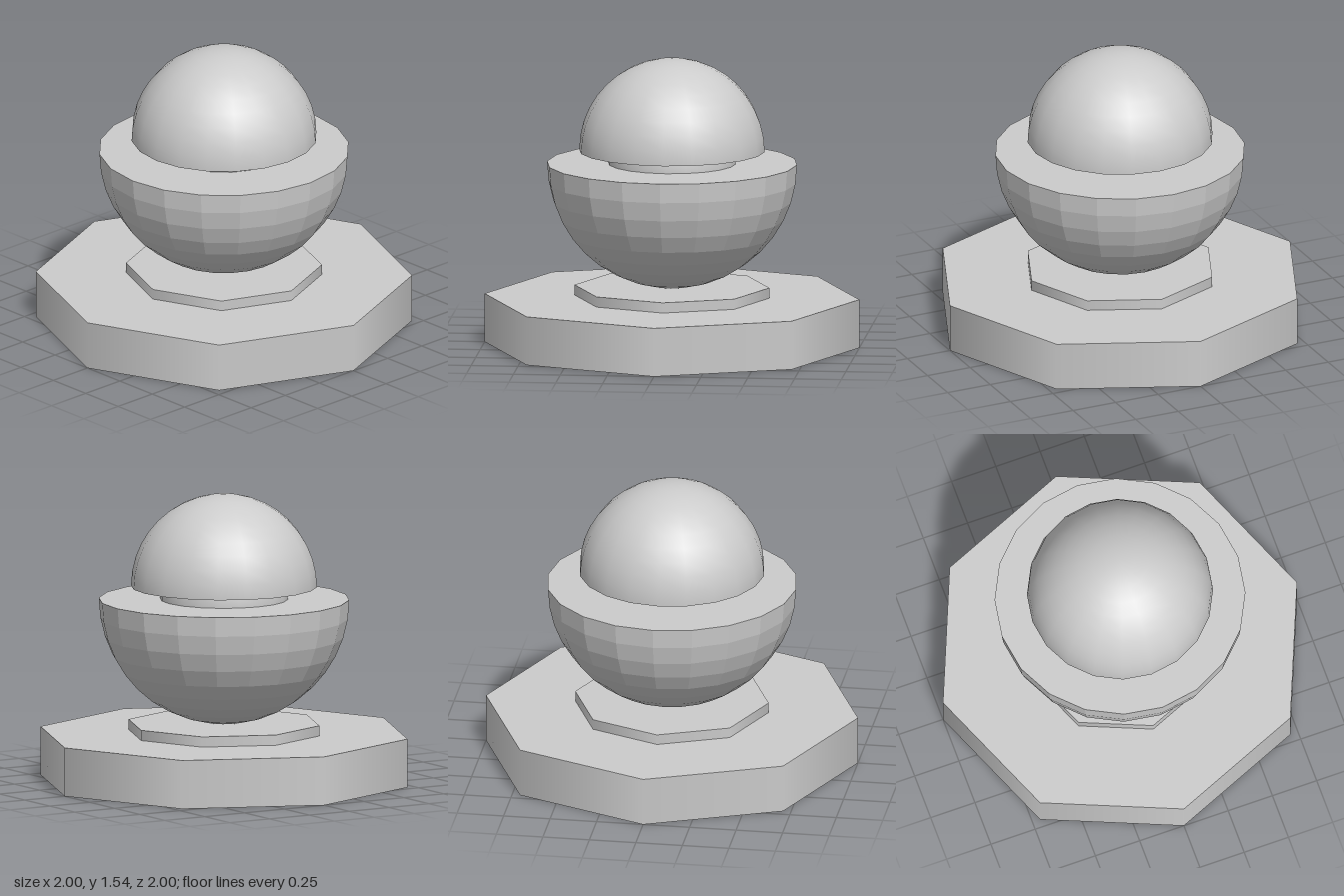
import * as THREE from 'three';

const smooth = new THREE.MeshStandardMaterial({ color: 0xcccccc });
const faceted = new THREE.MeshStandardMaterial({ color: 0xcccccc, flatShading: true });

function add(parent, name, geometry, y, material = smooth) {
  const mesh = new THREE.Mesh(geometry, material);
  mesh.name = name;
  mesh.position.y = y;
  parent.add(mesh);
  return mesh;
}

// Eight-sided slab standing on height y
function slab(parent, name, radius, y, height) {
  return add(parent, name, new THREE.CylinderGeometry(radius, radius, height, 8), y + height / 2);
}

// Closed half ball; its flat side lies at height y
function halfBall(parent, name, radius, y, up, material) {
  const half = new THREE.Group();
  half.name = name;
  half.position.y = y;
  const start = up ? 0 : Math.PI / 2;
  add(half, name + 'Shell', new THREE.SphereGeometry(radius, 20, 10, 0, Math.PI * 2, start, Math.PI / 2), 0, material);
  const lid = add(half, name + 'Lid', new THREE.CircleGeometry(radius, 20), 0, material);
  lid.rotation.x = up ? Math.PI / 2 : -Math.PI / 2;
  parent.add(half);
}

export function createModel() {
  const model = new THREE.Group();
  model.name = 'pedestalOrnament';

  // Stepped octagonal foot
  slab(model, 'base', 1, 0, 0.26);
  slab(model, 'plinth', 0.52, 0.26, 0.055);

  // Faceted bowl, the core rising from it, and the dome on top
  halfBall(model, 'bowl', 0.667, 0.98, false, faceted);
  halfBall(model, 'core', 0.34, 0.98, true, smooth);
  halfBall(model, 'dome', 0.495, 1.047, true, smooth);

  return model;
}
